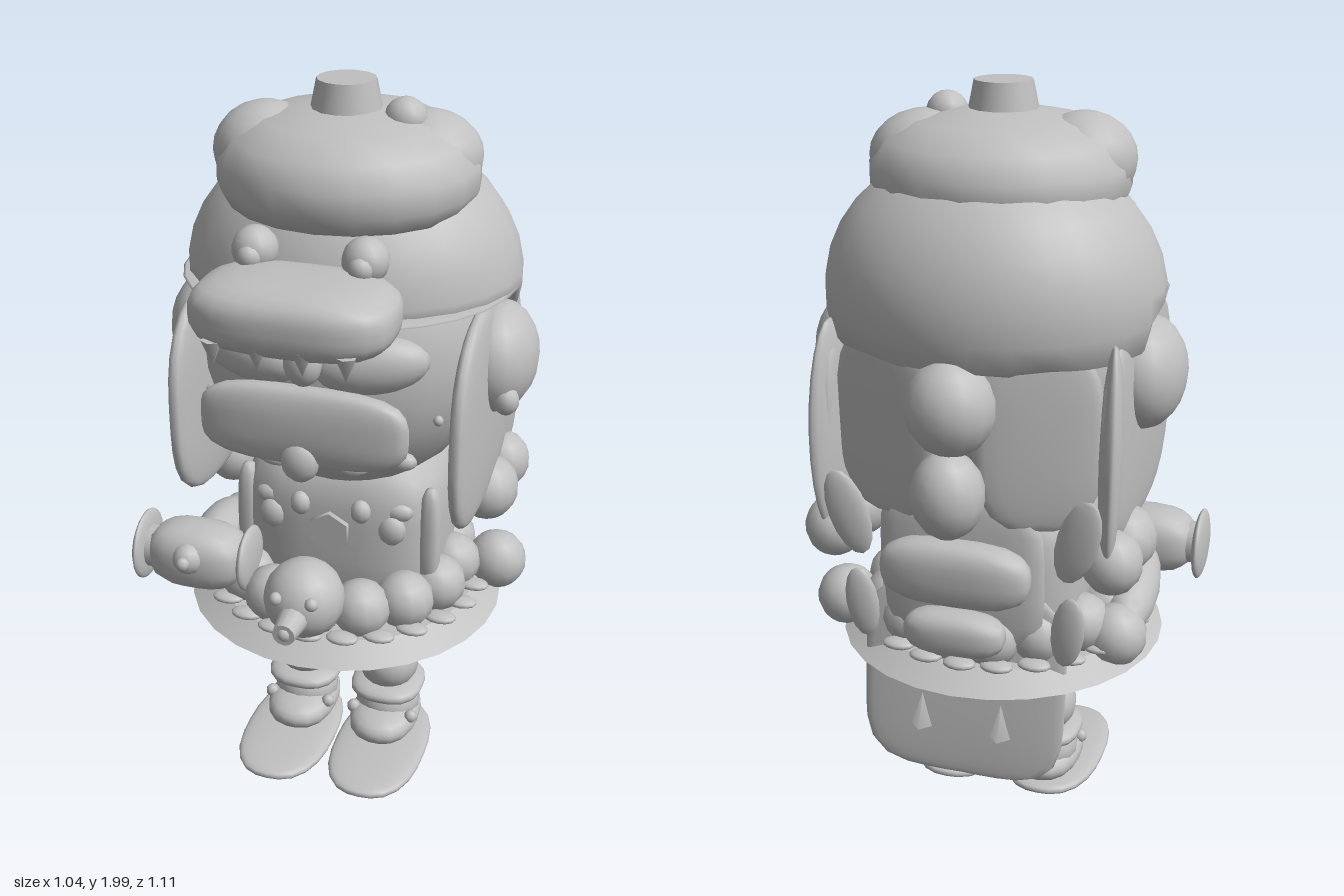
import * as THREE from 'three';
import { mergeVertices } from 'three/addons/utils/BufferGeometryUtils.js';

const clay = new THREE.MeshStandardMaterial({ color: 0xc0c0c0 });
clay.name = 'grey clay';
clay.side = THREE.DoubleSide;

// Rounded body. n = 2 is an ellipsoid, larger n is boxier; with a thin axis it is a slab with rounded edges.
function blobGeometry(r, n = 2, thin = -1, seg = 18) {
  let g = new THREE.SphereGeometry(1, seg, Math.round(seg * 0.66));
  g.deleteAttribute('uv');
  g.deleteAttribute('normal');
  g = mergeVertices(g, 1e-4);
  const p = g.attributes.position, axes = [0, 1, 2].filter((i) => i !== thin);
  for (let i = 0; i < p.count; i++) {
    const v = [p.getX(i), p.getY(i), p.getZ(i)];
    const flat = Math.hypot(...axes.map((a) => v[a]));
    const box = axes.reduce((s, a) => s + Math.abs(v[a]) ** n, 0) ** (1 / n);
    if (box > 1e-6) axes.forEach((a) => { v[a] *= flat / box; });
    if (thin >= 0) v[thin] = Math.sign(v[thin]) * Math.abs(v[thin]) ** 0.65;
    p.setXYZ(i, v[0] * r[0], v[1] * r[1], v[2] * r[2]);
  }
  g.computeVertexNormals();
  return g;
}

export function createModel() {
  const model = new THREE.Group();
  model.name = 'figure';

  const add = (name, geometry, pos, rot = [0, 0, 0]) => {
    const m = new THREE.Mesh(geometry, clay);
    m.name = name;
    m.position.set(...pos);
    m.rotation.set(...rot);
    model.add(m);
    return m;
  };
  const blob = (name, r, pos, o = {}) =>
    add(name, blobGeometry(Array.isArray(r) ? r : [r, r, r], o.n, o.thin, o.seg), pos, o.rot);
  const cone = (name, top, bottom, h, pos, rot, seg = 14) =>
    add(name, new THREE.CylinderGeometry(top, bottom, h, seg), pos, rot);
  const C = 0.013; // middle of the head

  // Head and cap
  blob('head', [0.4, 0.42, 0.37], [C, 1.32, -0.05], { seg: 24 });
  const dome = blobGeometry([0.445, 0.38, 0.39], 2, -1, 26);
  const dp = dome.attributes.position;
  for (let i = 0; i < dp.count; i++) {
    // hem: flat in front, lower with scallops behind
    const hem = dp.getZ(i) > -0.08 ? 0 : -0.09 - 0.03 * Math.abs(Math.sin(dp.getX(i) * 14));
    if (dp.getY(i) < hem) dp.setY(i, hem);
  }
  dome.computeVertexNormals();
  add('capDome', dome, [C, 1.48, -0.085]);
  blob('capBrim', [0.44, 0.012, 0.4], [C, 1.49, -0.042], { seg: 28 });
  const crown = [[0.25, 1.685], [0.31, 1.695], [0.335, 1.74], [0.335, 1.8], [0.3, 1.86], [0.22, 1.905], [0.1, 1.93], [0, 1.935]];
  add('hatCrown', new THREE.LatheGeometry(crown.map(([x, y]) => new THREE.Vector2(x, y)), 20), [0.015, 0, -0.025])
    .scale.z = 0.96;
  blob('hatBumpRight', [0.135, 0.12, 0.14], [-0.195, 1.81, 0]);
  blob('hatBumpLeft', [0.145, 0.115, 0.145], [0.205, 1.81, -0.055]);
  blob('hatBead', 0.055, [0.163, 1.91, -0.01], { seg: 14 });
  cone('hatStem', 0.075, 0.1, 0.12, [0.012, 1.94, -0.012]);

  // Toothy visor with bulging eyes
  blob('visorSnout', [0.25, 0.087, 0.155], [C, 1.553, 0.402], { n: 3.2, seg: 26 });
  [-0.15, -0.04, 0.07, 0.175].forEach((x) =>
    cone('visorTooth', 0.027, 0, 0.065, [x, 1.477, 0.525], [0, 0, 0], 6));
  for (const s of [-1, 1]) {
    blob('visorEye', 0.058, [C + s * 0.138, 1.652, 0.29], { seg: 14 });
    blob('visorPupil', 0.032, [C + s * 0.138, 1.645, 0.33], { seg: 12 });
  }

  // Face
  blob('nose', [0.05, 0.065, 0.05], [C, 1.4, 0.35], { seg: 14 });
  blob('muzzle', [0.27, 0.105, 0.045], [C, 1.228, 0.357], { n: 3.4, thin: 2, seg: 26 });
  blob('lipBead', [0.05, 0.056, 0.035], [C, 1.142, 0.385], { seg: 12 });
  for (const s of [-1, 1]) {
    blob('browPad', [0.145, 0.075, 0.06], [C + s * 0.155, 1.385, 0.295], { rot: [0, s * 0.25, s * 0.1] });
    blob('cheekStud', 0.014, [C + s * 0.305, 1.21, 0.2], { seg: 8 });
    blob('chinToothOuter', [0.04, 0.025, 0.025], [C + s * 0.222, 1.1, 0.235], { seg: 10 });
    blob('chinToothInner', [0.042, 0.02, 0.025], [C + s * 0.11, 1.082, 0.275], { seg: 10, rot: [0, 0, s * 0.2] });

    // Side flaps, ear pads and the rear neck cover
    const w = s * (0.371 + s * C);
    blob('earFlap', [0.036, 0.295, 0.335], [w, 1.165, -0.03], { n: 3, thin: 0, seg: 28 });
    blob('earPad', [0.11, 0.148, 0.155], [C + s * 0.395, 1.29, -0.062]);
    blob('earring', [0.035, 0.04, 0.035], [C + s * 0.445, 1.215, 0.045], { seg: 10 });
    blob('neckCover', [0.165, 0.25, 0.03], [C + s * 0.2, 1.19, -0.355], { n: 2.8, thin: 2, rot: [0, -s * 0.35, 0], seg: 20 });
    blob('rearFlap', [0.03, 0.29, 0.09], [C + s * 0.372, 1.14, -0.31], { rot: [0.06, -s * 0.25, 0] });
    blob('backLeaf', [0.055, 0.12, 0.018], [s * 0.305, 0.95, -0.41], { rot: [0, s * 0.1, -s * 0.3], seg: 12 });
    blob('lowerLeaf', [0.045, 0.1, 0.018], [s * 0.28, 0.69, -0.4], { rot: [0, s * 0.1, -s * 0.12], seg: 12 });

    // Arms
    blob('shoulder', [0.085, 0.09, 0.1], [C + s * 0.375, 0.85, -0.14], { seg: 14 });
    blob('shoulderPuff', [0.08, 0.085, 0.085], [C + s * 0.38, 0.855, -0.3], { seg: 14 });
    blob('elbow', 0.085, [0.03 + s * 0.385, 0.588, -0.19], { seg: 14 });

    // Chest trim
    add('chestStrap', blobGeometry([0.03, 0.15, 0.035], 3), [C + s * 0.26, 0.78, 0.06]);
    blob('chestBead', [0.04, 0.045, 0.03], [C + s * 0.168, 0.82, 0.12], { seg: 10 });
    blob('collarBead', [0.03, 0.035, 0.03], [C + s * 0.085, 0.87, 0.13], { seg: 10 });
    blob('collarOval', [0.045, 0.03, 0.03], [C + s * 0.18, 0.87, 0.1], { seg: 10 });

    // Legs and shoes
    const x = s * 0.128 + 0.004, z = -0.06;
    blob('thigh', [0.103, 0.13, 0.112], [x, 0.42, z], { n: 2.4 });
    blob('knee', [0.09, 0.09, 0.092], [x, 0.265, z], { seg: 16 });
    blob('legRing', [0.106, 0.03, 0.112], [x, 0.187, z], { n: 2.6, seg: 20 });
    blob('ankle', [0.095, 0.085, 0.095], [x, 0.125, z], { seg: 16 });
    blob('boot', [0.1, 0.05, 0.145], [x, 0.09, z + 0.025], { n: 2.4 });
    for (const b of [-1, 1])
      blob('bootButton', 0.02, [x + b * 0.088, 0.12, 0.01], { seg: 8 });
    blob('shoeSole', [0.135, 0.024, 0.235], [x + s * 0.01, 0.032, 0.06], { n: 2.5, thin: 1, seg: 24 });
  }

  // Ponytail
  blob('ponytailTop', [0.115, 0.125, 0.115], [C, 1.28, -0.435], { seg: 14 });
  blob('ponytailEnd', [0.095, 0.115, 0.095], [C, 1.06, -0.465], { seg: 14 });

  // Torso, badge and backpack
  blob('torso', [0.28, 0.26, 0.25], [C, 0.76, -0.11], { n: 4, seg: 24 });
  cone('chestBadge', 0.06, 0.06, 0.03, [C, 0.8, 0.14], [Math.PI / 2, 0, 0], 6);
  add('backpackPanel', blobGeometry([0.22, 0.22, 0.04], 4, 2), [C, 0.8, -0.36]);
  blob('bedrollUpper', [0.2, 0.087, 0.06], [C, 0.825, -0.42], { n: 3, seg: 20 });
  blob('bedrollLower', [0.135, 0.058, 0.055], [C, 0.66, -0.43], { n: 3, seg: 18 });

  // Skirt: flat flange, puffs and rows of beads
  cone('skirtFlange', 0.37, 0.445, 0.045, [0, 0.537, -0.06], [0, 0, 0], 28);
  const ring = (name, count, rad, r, y) => {
    for (let i = 0; i < count; i++) {
      const a = (i / count) * Math.PI * 2;
      blob(name, r, [Math.sin(a) * rad, y, Math.cos(a) * rad - 0.06], { seg: 12 });
    }
  };
  ring('skirtPuff', 15, 0.305, [0.082, 0.08, 0.082], 0.623);
  ring('skirtBead', 24, 0.375, [0.045, 0.014, 0.03], 0.573);
  ring('underBead', 18, 0.32, [0.03, 0.018, 0.03], 0.513);
  ring('underBeadInner', 12, 0.21, [0.03, 0.018, 0.03], 0.513);

  // Tail flap with two studs
  blob('tailFlap', [0.28, 0.27, 0.018], [C, 0.48, -0.362], { n: 4.5, thin: 2, rot: [0.13, 0, 0], seg: 28 });
  for (const s of [-1, 1])
    cone('tailStud', 0, 0.068, 0.16, [C + s * 0.11, 0.42, -0.357], [0, 0, 0], 4);

  // Small round companion in front of the belt
  blob('companionHead', 0.107, [C, 0.728, 0.365], { seg: 18 });
  cone('companionSnout', 0.03, 0.042, 0.09, [C, 0.718, 0.488], [Math.PI / 2, 0, 0], 12);
  blob('companionNose', 0.02, [C, 0.718, 0.525], { seg: 8 });
  for (const s of [-1, 1])
    blob('companionEye', 0.018, [C + s * 0.048, 0.768, 0.452], { seg: 10 });

  // Held horn with a flared mouth
  blob('hornArm', [0.075, 0.075, 0.2], [-0.36, 0.65, -0.02], { rot: [-0.2, 0.1, 0], seg: 14 });
  blob('hornBody', [0.14, 0.09, 0.092], [-0.35, 0.7, 0.2], { n: 2.8 });
  cone('hornNeck', 0.06, 0.06, 0.1, [-0.46, 0.7, 0.2], [0, 0, Math.PI / 2]);
  blob('hornMouth', [0.02, 0.1, 0.1], [-0.505, 0.7, 0.195], { seg: 18 });
  blob('hornEnd', [0.022, 0.092, 0.092], [-0.2, 0.71, 0.2], { seg: 18 });
  blob('hornKnob', 0.044, [-0.35, 0.725, 0.275], { seg: 12 });
  blob('hornButton', 0.02, [-0.35, 0.73, 0.315], { seg: 8 });

  return model;
}
